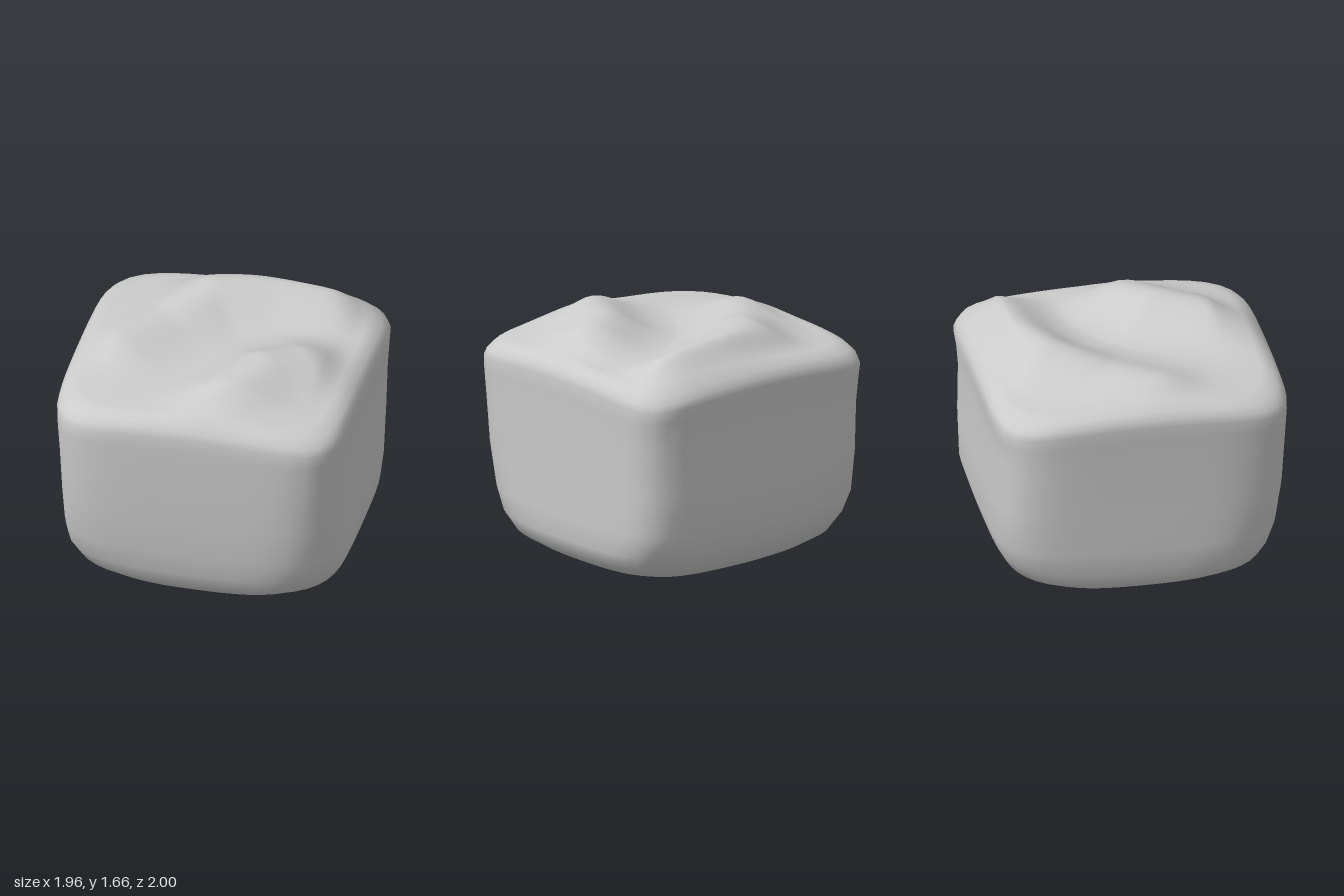
import * as THREE from 'three';

const SIDES = 72;
const TOP_RINGS = 24;
const TILT = 0.014;
const CORNER_SOFTNESS = 0.08;

// Two crests on the lumpy top: points are [x, z, rise above the base level]
const RIDGES = [
  { width: 0.26, points: [[-0.66, 0.1, 0.1], [-0.45, -0.2, 0.11], [-0.19, -0.55, 0.197], [0.15, -0.68, 0.175], [0.54, -0.74, 0.16]] },
  { width: 0.28, points: [[0.1, 0.85, 0.14], [0.2, 0.6, 0.163], [0.37, 0.3, 0.19], [0.55, 0.15, 0.158]] },
];

// Highest crest at a point, sloping straight down to nothing at the rim
function ridgeHeight(x, z) {
  let best = 0;
  for (const { width, points } of RIDGES) {
    for (let i = 0; i < points.length - 1; i++) {
      const [ax, az, ah] = points[i];
      const [bx, bz, bh] = points[i + 1];
      const dx = bx - ax, dz = bz - az;
      const t = THREE.MathUtils.clamp(((x - ax) * dx + (z - az) * dz) / (dx * dx + dz * dz), 0, 1);
      const d = Math.hypot(x - ax - t * dx, z - az - t * dz);
      best = Math.max(best, (ah + t * (bh - ah)) * Math.exp(-((d / width) ** 2)));
    }
  }
  const fade = (distance, span) => THREE.MathUtils.clamp(distance / span, 0, 1);
  return best * Math.min(fade(0.97 - Math.abs(x), 0.26), fade(0.99 - z, 0.35), fade(0.97 + z, 0.26));
}

// Horizontal sections, bottom to shoulder: [y, half x, front z, back z, squareness]
const SECTIONS = [
  [0.007, 0.3, 0.3, 0.3, 2.8],
  [0.01, 0.55, 0.5, 0.5, 3],
  [0.028, 0.68, 0.72, 0.69, 3.2],
  [0.065, 0.8, 0.79, 0.77, 3.5],
  [0.13, 0.9, 0.865, 0.87, 3.9],
  [0.24, 0.945, 0.905, 0.925, 4.5],
  [0.4, 0.952, 0.94, 0.975, 5.3],
  [0.7, 0.957, 0.972, 0.98, 6.1],
  [1.05, 0.967, 0.99, 0.97, 6.4],
  [1.25, 0.977, 1, 0.985, 6.5],
  [1.34, 0.982, 1, 1, 6.4],
  [1.39, 0.972, 0.985, 0.985, 6.1],
  [1.43, 0.94, 0.95, 0.955, 5.7],
  [1.455, 0.885, 0.895, 0.9, 5.4],
];

function buildBlock() {
  const positions = [0, 0.007, 0];
  const indices = [];
  const addRing = (y, hx, front, back, squareness, lumpy) => {
    for (let i = 0; i < SIDES; i++) {
      const a = (i / SIDES) * Math.PI * 2;
      const c = Math.cos(a), s = Math.sin(a);
      // The back left corner is a little squarer than the others
      const n = squareness + 3 * Math.max(0, c) * Math.max(0, -s);
      const r = (Math.abs(c) ** n + Math.abs(s) ** n) ** (-1 / n);
      const x = r * c * hx, z = r * s * (s > 0 ? front : back);
      // Corners sink at the top and lift at the bottom
      const soften = CORNER_SOFTNESS * (1 - y / 0.73) * (x * z) ** 2;
      positions.push(x, y - TILT * x + soften + lumpy * ridgeHeight(x, z), z);
    }
  };
  // Underside and walls, with the crests fading in over the shoulder
  SECTIONS.forEach(([y, hx, f, b, n]) => addRing(y, hx, f, b, n, THREE.MathUtils.smoothstep(y, 1.36, 1.44)));
  // Top surface, closing in towards the middle
  for (let k = 1; k < TOP_RINGS; k++) {
    const t = 1 - k / TOP_RINGS;
    addRing(1.462 - 0.007 * t ** 4, 0.885 * t, 0.895 * t, 0.9 * t, 3 + 2.4 * t, 1);
  }
  positions.push(0, 1.462 + ridgeHeight(0, 0), 0);

  const rings = SECTIONS.length + TOP_RINGS - 1;
  const top = 1 + rings * SIDES;
  for (let i = 0; i < SIDES; i++) {
    const j = (i + 1) % SIDES;
    indices.push(0, 1 + i, 1 + j);
    for (let k = 0; k < rings - 1; k++) {
      const a = 1 + k * SIDES, b = a + SIDES;
      indices.push(a + i, b + i, a + j, a + j, b + i, b + j);
    }
    indices.push(top - SIDES + i, top, top - SIDES + j);
  }
  const geometry = new THREE.BufferGeometry();
  geometry.setAttribute('position', new THREE.Float32BufferAttribute(positions, 3));
  geometry.setIndex(indices);
  geometry.computeVertexNormals();
  return geometry;
}

export function createModel() {
  const group = new THREE.Group();
  group.name = 'roundedBlock';
  const block = new THREE.Mesh(buildBlock(), new THREE.MeshStandardMaterial({ color: 0xcccccc }));
  block.name = 'lumpyToppedBlock';
  group.add(block);
  return group;
}
